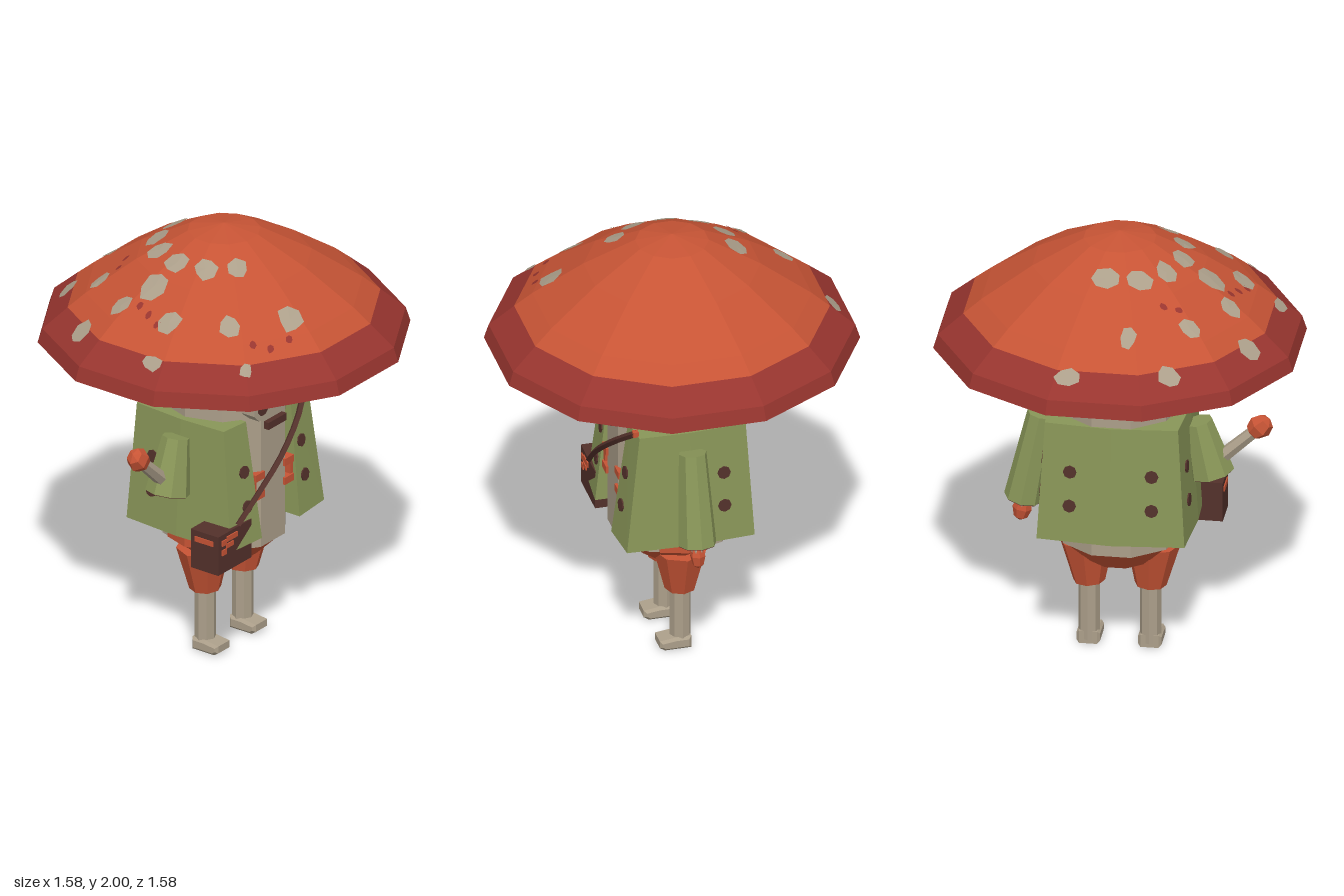
import * as THREE from 'three';

const mat = (name, color) => {
  const m = new THREE.MeshStandardMaterial({ color });
  m.name = name;
  return m;
};

// Separate the faces so every facet stays flat
function flat(geo) {
  const g = geo.index ? geo.toNonIndexed() : geo;
  g.computeVertexNormals();
  return g;
}

export function createModel() {
  const model = new THREE.Group();
  model.name = 'mushroomTraveller';
  const orange = mat('orange', 0xc75435), red = mat('rimRed', 0x98352f), pale = mat('pale', 0xac9f8a);
  const green = mat('coatGreen', 0x899658), brown = mat('darkBrown', 0x53312b), gill = mat('gillGrey', 0x978c7b);

  function add(name, geo, material, x = 0, y = 0, z = 0) {
    const mesh = new THREE.Mesh(flat(geo), material);
    mesh.name = name;
    mesh.position.set(x, y, z);
    model.add(mesh);
    return mesh;
  }
  const box = (name, m, w, h, d, x, y, z) => add(name, new THREE.BoxGeometry(w, h, d), m, x, y, z);

  // Tapered prism between two points
  function limb(name, m, from, to, r0, r1, sides) {
    const a = new THREE.Vector3(...from), b = new THREE.Vector3(...to);
    const dir = b.clone().sub(a);
    const mesh = add(name, new THREE.CylinderGeometry(r1, r0, dir.length(), sides), m);
    mesh.position.copy(a).add(b).multiplyScalar(0.5);
    mesh.quaternion.setFromUnitVectors(new THREE.Vector3(0, 1, 0), dir.normalize());
  }

  // Twelve-sided cap; profile radii are measured to the middle of each side
  const profile = [[0.79, 1.475], [0.77, 1.54], [0.663, 1.635], [0.587, 1.70], [0.372, 1.85], [0.155, 1.97], [0, 2]];
  const capLathe = (pts) => new THREE.LatheGeometry(
    pts.map(([r, y]) => new THREE.Vector2(r / Math.cos(Math.PI / 12), y)), 12, Math.PI / 12);
  add('capRim', capLathe(profile.slice(0, 3)), red);
  add('capTop', capLathe(profile.slice(2)), orange);
  add('gills', capLathe([[0, 1.34], [0.3, 1.34], [0.79, 1.475]]), gill);
  const collar = add('neckRing', new THREE.TorusGeometry(0.318, 0.012, 4, 20), brown, 0, 1.346, 0);
  collar.rotation.x = Math.PI / 2;

  function capHeight(x, z) {
    let d = 0;
    for (let k = 0; k < 12; k++) d = Math.max(d, x * Math.cos(k * Math.PI / 6) + z * Math.sin(k * Math.PI / 6));
    for (let i = 1; i < profile.length; i++) {
      const [r0, y0] = profile[i - 1], [r1, y1] = profile[i];
      if (d >= r1) return y0 + (y1 - y0) * (r0 - d) / (r0 - r1);
    }
    return 2;
  }

  // Ragged spots laid on the cap
  let seed = 7;
  const rand = () => (seed = (seed * 16807) % 2147483647) / 2147483647;
  function spot(name, m, x, z, w, d) {
    const n = 7, geo = new THREE.CircleGeometry(1, n).rotateX(-Math.PI / 2);
    const p = geo.attributes.position;
    const jitter = Array.from({ length: n }, () => 0.92 + 0.4 * rand());
    for (let i = 0; i < p.count; i++) {
      const s = i ? jitter[(i - 1) % n] : 1;
      const px = x + p.getX(i) * s * w / 2, pz = z + p.getZ(i) * s * d / 2;
      p.setXYZ(i, px, capHeight(px, pz) + 0.006, pz);
    }
    add(name, geo, m);
  }
  [[-0.305, -0.62, 0.095, 0.07], [0.13, -0.69, 0.1, 0.055], [-0.115, -0.53, 0.065, 0.08], [-0.365, -0.4, 0.08, 0.07],
    [-0.615, -0.31, 0.08, 0.09], [-0.51, -0.175, 0.08, 0.08], [-0.23, -0.18, 0.09, 0.1], [-0.12, -0.27, 0.11, 0.09],
    [0.02, -0.285, 0.12, 0.09], [-0.41, -0.07, 0.11, 0.11], [-0.285, -0.04, 0.085, 0.1], [-0.525, 0.1, 0.085, 0.1],
    [-0.685, 0.125, 0.05, 0.1], [-0.265, 0.1, 0.09, 0.09], [-0.185, 0.215, 0.09, 0.08], [-0.405, 0.34, 0.08, 0.09],
    [-0.5, 0.5, 0.05, 0.05], [-0.185, 0.5, 0.1, 0.09],
  ].forEach((s) => spot('capSpot', pale, ...s));
  [[-0.31, -0.34], [-0.245, -0.35], [-0.5, -0.08], [-0.525, -0.015], [-0.55, 0.05], [-0.4, 0.46], [-0.35, 0.52], [-0.255, 0.55],
  ].forEach(([x, z]) => spot('capFleck', red, x, z, 0.032, 0.024));

  // Stalk body and face
  add('body', new THREE.CylinderGeometry(0.28, 0.28, 0.8, 10, 1, false, Math.PI / 2), pale, 0, 0.945, 0);
  box('mouth', brown, 0.13, 0.034, 0.04, 0, 1.125, 0.273);
  for (const s of [-1, 1]) {
    const disc = (name, m, r, depth, z) => {
      add(name, new THREE.CylinderGeometry(r, r, depth, 8, 1, false, Math.PI / 8), m, s * 0.105, 1.23, z).rotation.x = Math.PI / 2;
    };
    disc('eye', pale, 0.062, 0.07, 0.255);
    disc('pupil', brown, 0.036, 0.008, 0.292);
  }

  // Coat: a tapered shell wrapped round the body, open at the front
  const Y0 = 0.62, H = 0.55;
  const half = [[0.135, 0.1], [0.135, 0.31], [0.335, 0.292], [0.345, 0], [0.325, -0.285], [0, -0.315]];
  const outline = [...half, ...half.slice(0, -1).reverse().map(([x, z]) => [-x, z])];
  const coat = new THREE.ExtrudeGeometry(
    new THREE.Shape(outline.map(([x, z]) => new THREE.Vector2(x, -z))), { depth: H, bevelEnabled: false });
  coat.rotateX(-Math.PI / 2);
  const cp = coat.attributes.position;
  for (let i = 0; i < cp.count; i++) {
    if (cp.getY(i) < H / 2) continue;
    const x = cp.getX(i), z = cp.getZ(i);
    cp.setX(i, Math.abs(x) > 0.2 ? x * 0.9 : x * 1.18);
    cp.setZ(i, z > 0.2 ? z * 0.777 : z < -0.2 ? z * 0.889 : z);
  }
  add('coat', coat, green, 0, Y0, 0);

  // Coat patches follow the slope of each panel: turn, offset along it, distance out at hem and collar
  function patches(turn, u, low, high) {
    for (const y of [0.79, 0.95]) {
      const side = new THREE.Group();
      side.name = 'coatPatch';
      side.rotation.y = turn;
      const m = add('patch', new THREE.CylinderGeometry(0.03, 0.03, 0.009, 8), brown, u, y, low + (high - low) * (y - Y0) / H + 0.002);
      m.rotation.x = Math.PI / 2 - Math.atan((low - high) / H);
      side.add(m);
      model.add(side);
    }
  }
  for (const s of [-1, 1]) {
    patches(s * 0.09, s * 0.18, 0.321, 0.2534);
    patches(s * (Math.PI - 0.092), -s * 0.153, 0.3137, 0.279);
    patches(s * (Math.PI / 2 + 0.07), s * 0.127, 0.344, 0.309);
  }

  // Sleeves, cuffs, forearms and hands
  function hand(name, x, y, rx, ry, rz, tilt) {
    const m = add(name, new THREE.SphereGeometry(1, 6, 4).scale(rx, ry, rz), orange, x, y, 0);
    m.rotation.z = tilt;
  }
  limb('leftSleeve', green, [0.425, 0.675, 0], [0.345, 1.09, 0], 0.085, 0.062, 8);
  limb('leftCuff', brown, [0.4258, 0.671, 0], [0.425, 0.675, 0], 0.082, 0.082, 8);
  limb('leftForearm', pale, [0.43, 0.64, 0], [0.41, 0.74, 0], 0.028, 0.028, 6);
  hand('leftHand', 0.43, 0.62, 0.043, 0.06, 0.034, 0.18);
  limb('rightSleeve', green, [-0.405, 0.855, 0], [-0.345, 1.1, 0], 0.1, 0.062, 8);
  limb('rightCuff', brown, [-0.406, 0.851, 0], [-0.405, 0.855, 0], 0.095, 0.095, 8);
  limb('rightForearm', pale, [-0.4, 0.89, 0], [-0.6, 1.075, 0], 0.034, 0.028, 6);
  hand('rightHand', -0.615, 1.09, 0.055, 0.06, 0.05, 0.8);

  // Shoulder bag with its strap and trim
  box('bag', brown, 0.24, 0.185, 0.15, -0.31, 0.637, 0.22);
  box('bagTrim', orange, 0.075, 0.024, 0.008, -0.335, 0.7, 0.297);
  box('bagClasp', orange, 0.05, 0.02, 0.008, -0.35, 0.668, 0.297);
  for (const y of [0.645, 0.69]) box('bagStud', orange, 0.03, 0.026, 0.008, -0.39, y, 0.297);
  box('bagSideTrim', orange, 0.008, 0.024, 0.1, -0.431, 0.69, 0.22);
  const strapPath = new THREE.CatmullRomCurve3([[0.27, 1.18, 0.235], [0.16, 1.095, 0.285], [0, 0.97, 0.315],
    [-0.16, 0.845, 0.31], [-0.29, 0.735, 0.295]].map((p) => new THREE.Vector3(...p)));
  add('strap', new THREE.TubeGeometry(strapPath, 10, 0.015, 4), brown);
  box('strapEnd', orange, 0.025, 0.025, 0.025, 0.268, 1.178, 0.237);

  // Trousers: seat, dark crotch, side panels and front buckles
  const seat = (name, m, pts) => add(name, new THREE.LatheGeometry(
    pts.map((p) => new THREE.Vector2(...p)), 10, Math.PI / 2), m);
  seat('trouserCrotch', brown, [[0, 0.388], [0.03, 0.39], [0.085, 0.41]]);
  seat('trouserSeat', orange, [[0.085, 0.41], [0.15, 0.43], [0.272, 0.547]]);
  for (const s of [-1, 1]) {
    const panel = new THREE.Shape([[0.285, 0], [0.247, 0.12], [0.2, 0.12], [0.2, -0.12], [0.247, -0.12]].map(([x, z]) => new THREE.Vector2(x, z)));
    const g = new THREE.ExtrudeGeometry(panel, { depth: 0.1, bevelEnabled: false }).rotateX(-Math.PI / 2);
    add('trouserSide', g, orange, 0, 0.545, 0).rotation.y = s > 0 ? 0 : Math.PI;
    box('buckleTop', orange, 0.065, 0.034, 0.04, s * 0.105, 0.893, 0.258);
    box('buckleBottom', orange, 0.065, 0.034, 0.04, s * 0.105, 0.803, 0.258);
    box('buckleSide', orange, 0.018, 0.12, 0.04, s * 0.13, 0.847, 0.25);

    // Trouser leg, shin and foot
    limb('trouserLeg', orange, [s * 0.135, 0.295, 0], [s * 0.145, 0.5, 0], 0.07, 0.122, 8);
    limb('shin', pale, [s * 0.135, 0.02, 0], [s * 0.135, 0.32, 0], 0.047, 0.047, 8);
    const sole = new THREE.Shape([[-0.028, 0.014], [0.075, 0.014], [0.09, 0.024], [0.09, 0.04], [0.03, 0.048], [-0.028, 0.048]].map(([z, y]) => new THREE.Vector2(z, y)));
    const foot = new THREE.ExtrudeGeometry(sole, { depth: 0.08, bevelThickness: 0.012, bevelSize: 0.012, bevelSegments: 1 });
    add('foot', foot.translate(0, 0, -0.04).rotateY(-Math.PI / 2), pale, s * 0.135, 0, 0);
  }
  return model;
}
